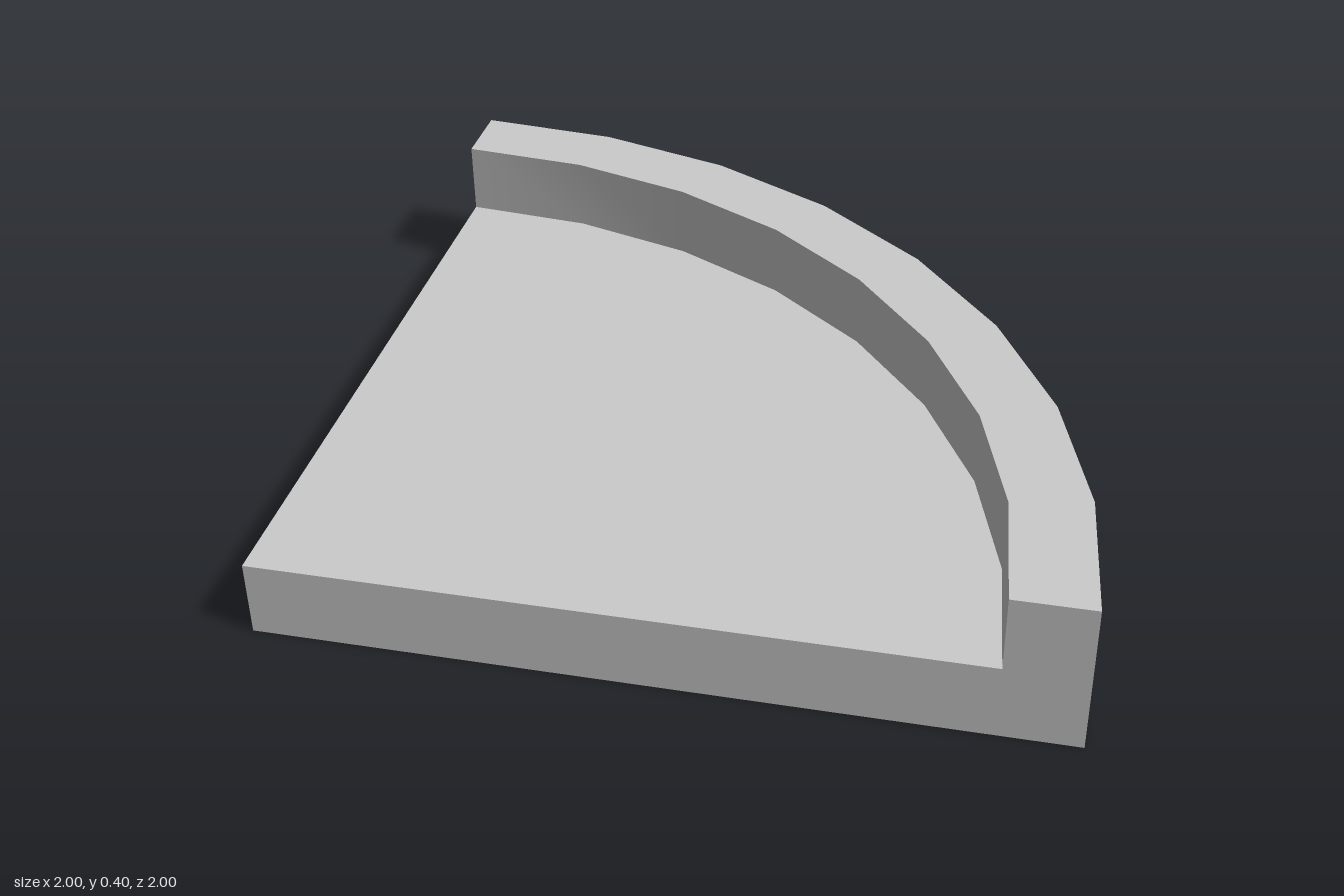
import * as THREE from 'three';
import { mergeGeometries, toCreasedNormals } from 'three/addons/utils/BufferGeometryUtils.js';

const RADIUS = 2, RIM_INNER = 1.8, FLOOR = 0.2, HEIGHT = 0.4, SEGMENTS = 8;

export function createModel() {
  const group = new THREE.Group();
  group.name = 'quarterRoundTile';

  // Cross-section: flat floor with a raised rim along the outer edge
  const profile = [
    [0, 0], [RADIUS, 0], [RADIUS, HEIGHT], [RIM_INNER, HEIGHT], [RIM_INNER, FLOOR], [0, FLOOR],
  ].map(([r, y]) => new THREE.Vector2(r, y));

  // Quarter sweep from +x round to -z
  const sweep = new THREE.LatheGeometry(profile, SEGMENTS, Math.PI / 2, Math.PI / 2);

  // Straight cut faces: front (+z) and side (-x)
  const frontCap = new THREE.ShapeGeometry(new THREE.Shape(profile));
  const mirrored = profile.map((p) => new THREE.Vector2(-p.x, p.y));
  const sideCap = new THREE.ShapeGeometry(new THREE.Shape(mirrored)).rotateY(-Math.PI / 2);

  // Smooth curved walls, sharp edges elsewhere
  const geometry = toCreasedNormals(mergeGeometries([sweep, frontCap, sideCap]), Math.PI / 6);
  geometry.translate(-1, 0, 1);

  const tile = new THREE.Mesh(geometry, new THREE.MeshStandardMaterial({ color: 0xcccccc }));
  tile.name = 'floorWithRim';
  group.add(tile);
  return group;
}
